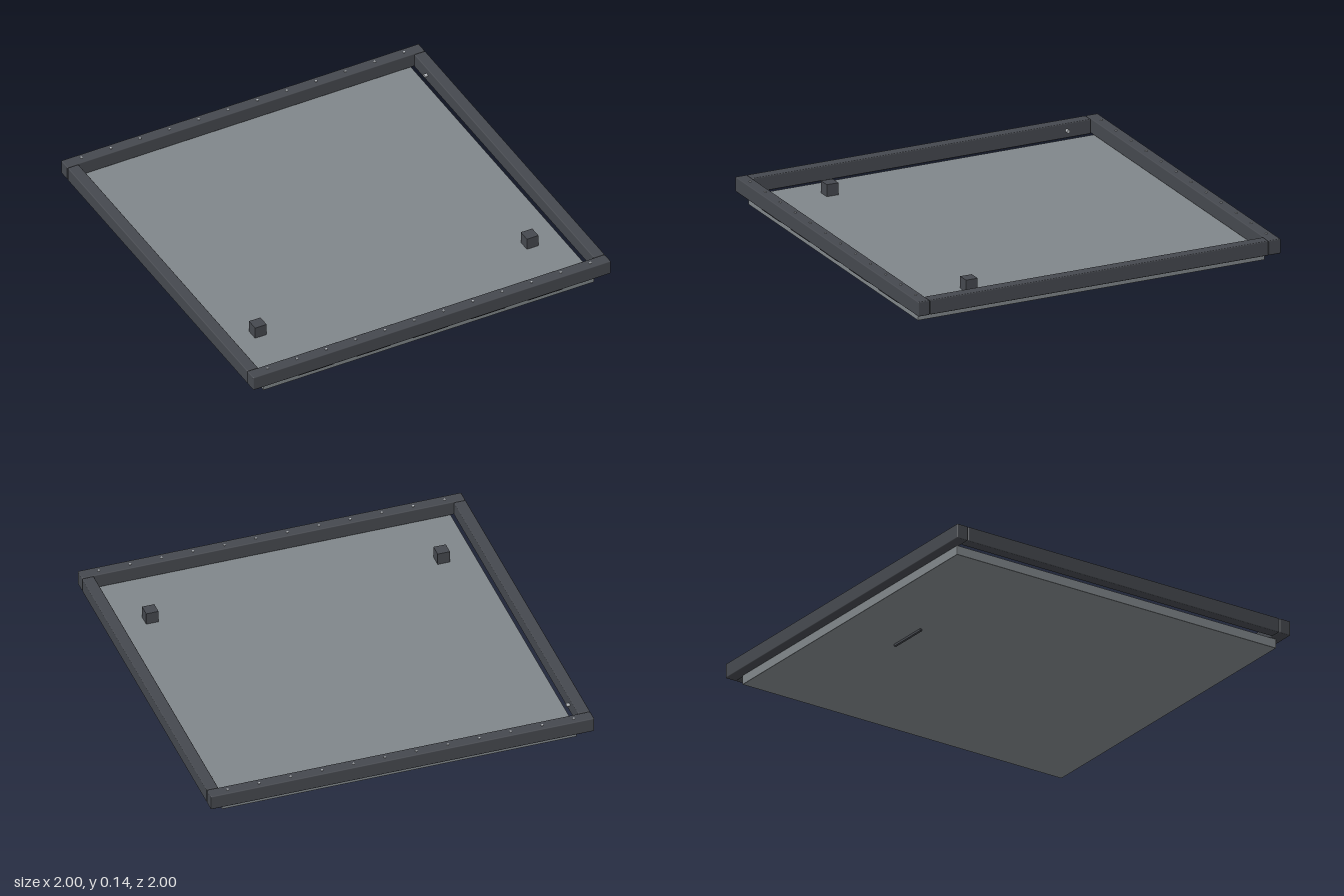
import * as THREE from 'three';
import { RoundedBoxGeometry } from 'three/addons/geometries/RoundedBoxGeometry.js';

export function createModel() {
  const model = new THREE.Group();
  model.name = 'framedTray';

  const darkFrame = new THREE.MeshStandardMaterial({ color: 0x45484e });
  darkFrame.name = 'dark frame';
  const greyPanel = new THREE.MeshStandardMaterial({ color: 0x80868a });
  greyPanel.name = 'grey panel';
  const steel = new THREE.MeshStandardMaterial({ color: 0xb4b8bc });
  steel.name = 'steel';

  function add(name, geometry, material, x, y, z, parent = model) {
    const mesh = new THREE.Mesh(geometry, material);
    mesh.name = name;
    mesh.position.set(x, y, z);
    parent.add(mesh);
    return mesh;
  }

  // Panel: slab whose top is flush with the underside of the rails
  add('panel', new RoundedBoxGeometry(1.85, 0.05, 1.915, 1, 0.003), greyPanel, 0, 0.036, 0.0075);

  // Rails: full-width front and back, with side rails between them
  const crossRail = new RoundedBoxGeometry(2, 0.077, 0.064, 2, 0.005);
  const sideRail = new RoundedBoxGeometry(0.061, 0.077, 1.866, 2, 0.005);
  add('frontRail', crossRail, darkFrame, 0, 0.0995, 0.968);
  add('backRail', crossRail, darkFrame, 0, 0.0995, -0.968);
  add('leftRail', sideRail, darkFrame, 0.9695, 0.0995, 0);
  add('rightRail', sideRail, darkFrame, -0.9695, 0.0995, 0);

  // Screws: twelve along the top of each cross rail
  const screws = new THREE.Group();
  screws.name = 'railScrews';
  model.add(screws);
  const screw = new THREE.CylinderGeometry(0.006, 0.006, 0.006, 10);
  for (const z of [0.966, -0.97]) {
    for (let i = 0; i < 12; i++) {
      add('screw', screw, steel, (i - 5.5) * 0.164, 0.139, z, screws);
    }
  }

  // Finger grips: sloped lugs under the front rail
  const gripProfile = new THREE.Shape([
    new THREE.Vector2(0.95, 0.064), new THREE.Vector2(0.95, 0.042),
    new THREE.Vector2(0.974, 0.042), new THREE.Vector2(0.99, 0.052),
    new THREE.Vector2(0.99, 0.064),
  ]);
  const grip = new THREE.ExtrudeGeometry(gripProfile, { depth: 0.19, bevelEnabled: false });
  grip.rotateY(-Math.PI / 2); // profile x becomes z, extrusion runs toward -x
  grip.translate(0.095, 0, 0);
  for (let i = -2; i <= 2; i++) add('fingerGrip', grip, darkFrame, i * 0.32, 0, 0);

  // Support blocks on the panel, and pins inside the side rails
  const block = new THREE.BoxGeometry(0.064, 0.064, 0.064);
  const pin = new THREE.CylinderGeometry(0.009, 0.009, 0.02, 12);
  pin.rotateZ(Math.PI / 2);
  for (const side of [1, -1]) {
    add('supportBlock', block, darkFrame, side * 0.76, 0.092, 0.6);
    add('railPin', pin, steel, side * 0.932, 0.1, -0.8);
  }

  // Slim rib beneath the panel toward the back
  add('undersideRib', new THREE.BoxGeometry(0.225, 0.012, 0.012), darkFrame, 0, 0.006, -0.6);

  return model;
}
